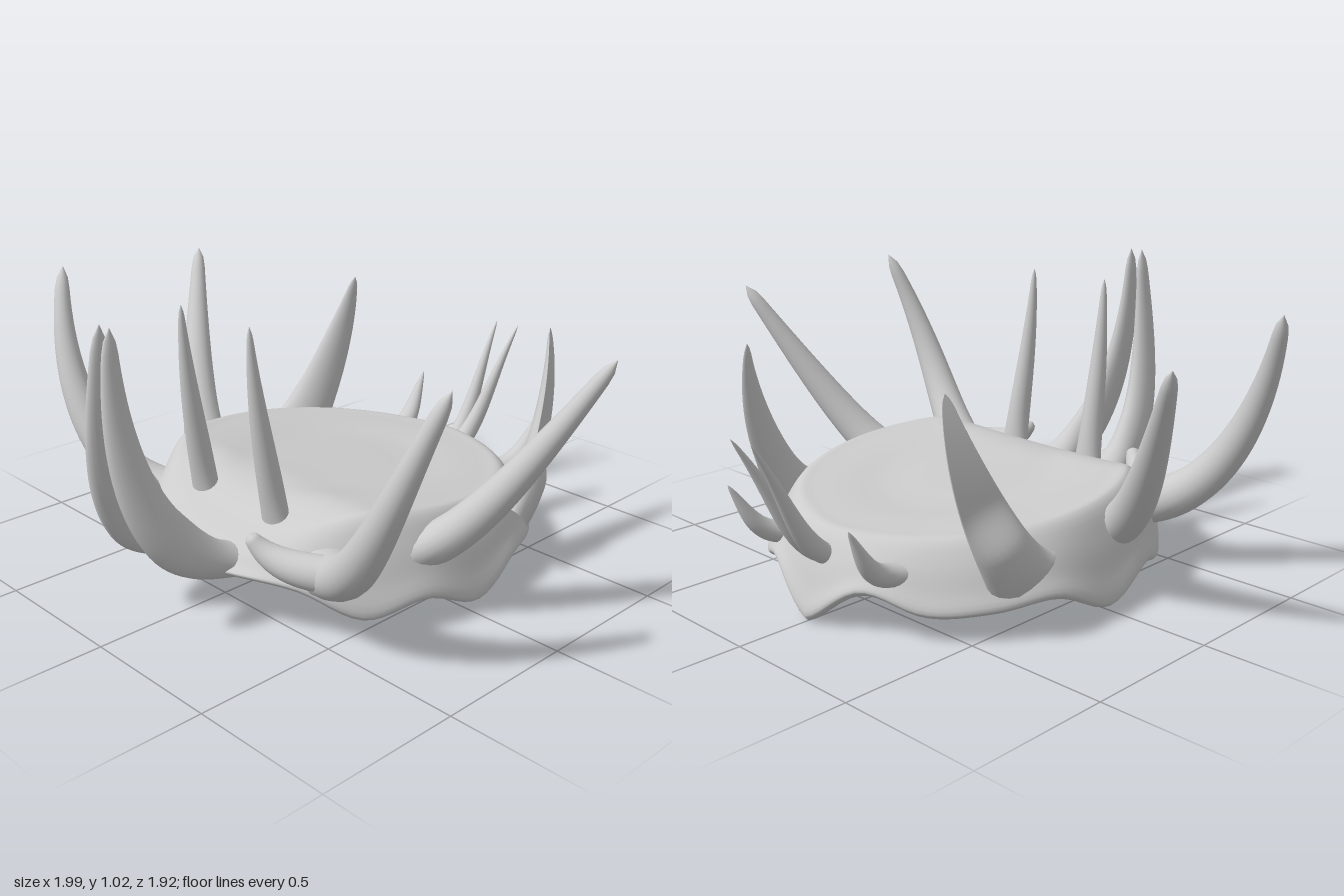
import * as THREE from 'three';

const V = (x, y, z) => new THREE.Vector3(x, y, z);
const material = new THREE.MeshStandardMaterial({ color: 0xcccccc, roughness: 0.8 });
const { smoothstep, lerp } = THREE.MathUtils;

// Skin a stack of closed rings into a smooth surface
function skin(rings) {
  const n = rings[0].length, pos = [], idx = [];
  rings.forEach(r => r.forEach(p => pos.push(p.x, p.y, p.z)));
  for (let i = 0; i < rings.length - 1; i++) {
    for (let j = 0; j < n; j++) {
      const a = i * n + j, b = i * n + (j + 1) % n;
      idx.push(a, b, a + n, b, b + n, a + n);
    }
  }
  const g = new THREE.BufferGeometry();
  g.setAttribute('position', new THREE.Float32BufferAttribute(pos, 3));
  g.setIndex(idx);
  g.computeVertexNormals();
  return g;
}

function mesh(name, geometry) {
  const m = new THREE.Mesh(geometry, material);
  m.name = name;
  return m;
}

// Wavy hem heights at even steps from the front round to the back
const hemCurve = new THREE.SplineCurve(
  [0.17, 0.19, 0.17, 0.07, 0.11, 0.04, 0.12, 0.1, 0.09, 0.14, 0.01].map((y, i) => new THREE.Vector2(i, y)));

// Top slopes gently to the back, drops at the front and has a faint dish
const topHeight = (r, z) =>
  0.362 + 0.1 * z - 0.16 * smoothstep(z, 0.26, 0.64) - 0.018 * (1 - smoothstep(r, 0.4, 0.72));

// Lumpy underside
function underHeight(x, z) {
  const lumps = 0.036 * Math.cos(9 * x) * Math.sin(11 * z + 1) + 0.022 * Math.cos(15 * x + 0.5) * Math.cos(8 * z);
  return Math.max(0.008, 0.055 + 0.13 * (z + 0.25) ** 2 + lumps);
}

// Shell: one profile per angle, from the bottom centre over the skirt to the top centre
function bodyGeometry() {
  const columns = 128, rows = 60, strips = [];
  for (let j = 0; j < columns; j++) {
    const a = (j / columns) * Math.PI * 2;
    const fromFront = Math.min(a, 2 * Math.PI - a);
    const hem = hemCurve.getPoint(fromFront / Math.PI).y;
    const point = (r, height) => {
      const x = 0.67 * r * Math.sin(a);
      const z = -0.03 + 0.7 * r * Math.cos(a) - 0.02 * r * smoothstep(fromFront, 2.7, Math.PI);
      return V(x, height(Math.abs(x), z), z);
    };
    const top = r => point(r, (x, z) => topHeight(r, z));
    const under = r => point(r, underHeight);
    const shoulder = top(0.85).y;
    const profile = new THREE.CatmullRomCurve3([
      ...[0, 0.18, 0.36, 0.52, 0.7].map(under),
      point(0.86, (x, z) => (hem + underHeight(x, z)) / 2 + 0.03),
      point(0.97, () => hem),
      point(1, () => hem + 0.02),
      point(0.965, () => lerp(shoulder, hem, 0.65)),
      point(0.915, () => lerp(shoulder, hem, 0.3)),
      ...[0.84, 0.76, 0.6, 0.42, 0.22, 0].map(top),
    ], false, 'centripetal');
    strips.push(profile.getPoints(rows));
  }
  return skin(Array.from({ length: rows + 1 }, (_, i) => strips.map(s => s[i])));
}

// Tapering horn along a cubic curve. The girth runs along the wide direction,
// depth is the ratio across it, flare spreads the root, groove hollows the outer face.
function hornGeometry(points, { wide, girth, depth, tip, flare, groove = 0 }, side) {
  const mirrored = p => V(p.x * side, p.y, p.z);
  const curve = new THREE.CubicBezierCurve3(...points.map(mirrored));
  const reference = mirrored(wide);
  const steps = 36, sides = 20, rings = [];
  for (let i = 0; i <= steps; i++) {
    const s = i / steps, p = curve.getPoint(s), t = curve.getTangent(s);
    const w = reference.clone().addScaledVector(t, -reference.dot(t)).normalize();
    const b = t.clone().cross(w);
    const round = Math.sqrt(1 - Math.max(0, (s - 0.94) / 0.06) ** 2 + 1e-9);
    const radius = (girth * (1 - s * s) + tip) * round;
    const across = radius * lerp(Math.min(1, depth), depth, smoothstep(s, 0, 0.4));
    const along = radius + flare * (1 - s) ** 8;
    const hollow = groove * smoothstep(s, 0.25, 0.5);
    rings.push(Array.from({ length: sides }, (_, j) => {
      const a = (j / sides) * Math.PI * 2;
      const v = Math.sin(a) * (Math.sin(a) * side > 0 ? 1 - hollow : 1);
      return p.clone().addScaledVector(w, Math.cos(a) * along).addScaledVector(b, v * across);
    }));
  }
  return skin(rings);
}

export function createModel() {
  const group = new THREE.Group();
  group.name = 'hornedShell';
  group.add(mesh('shellBody', bodyGeometry()));

  const X = V(1, 0, 0), Y = V(0, 1, 0), Z = V(0, 0, 1);
  const hornPair = (name, size, ...points) => {
    group.add(mesh('left' + name, hornGeometry(points, size, 1)));
    group.add(mesh('right' + name, hornGeometry(points, size, -1)));
  };

  // Tall blades reaching forward from the front
  hornPair('FrontBlade', { wide: X, girth: 0.042, depth: 1.8, tip: 0.011, flare: 0.05 },
    V(0.12, 0.2, 0.5), V(0.14, 0.23, 0.85), V(0.04, 0.55, 0.95), V(0.025, 1.03, 0.91));
  // Slim upright spikes
  hornPair('UprightSpike', { wide: X, girth: 0.035, depth: 1.15, tip: 0.006, flare: 0.04 },
    V(0.18, 0.22, 0.41), V(0.18, 0.45, 0.44), V(0.17, 0.7, 0.5), V(0.167, 0.98, 0.508));
  // Big curved antlers at the front corners, with short nubs inside them
  hornPair('FrontAntler', { wide: Z, girth: 0.058, depth: 1, tip: 0.02, flare: 0.05 },
    V(0.36, 0.22, 0.4), V(0.62, 0.21, 0.5), V(0.78, 0.5, 0.62), V(0.928, 0.96, 0.457));
  hornPair('FrontNub', { wide: Y, girth: 0.04, depth: 1, tip: 0.02, flare: 0 },
    V(0.5, 0.25, 0.46), V(0.38, 0.25, 0.54), V(0.29, 0.26, 0.56), V(0.25, 0.35, 0.6));
  // Straight antlers sweeping out and back from the flanks
  hornPair('SideAntler', { wide: Z, girth: 0.054, depth: 0.95, tip: 0.02, flare: 0.04 },
    V(0.54, 0.24, 0.12), V(0.68, 0.32, 0.06), V(0.8, 0.52, -0.03), V(0.992, 0.905, -0.215));
  // Cupped leaf-shaped horns
  hornPair('RearLeaf', { wide: V(0.35, 0, 1), girth: 0.085, depth: 0.6, tip: 0.01, flare: 0.03, groove: 1 },
    V(0.55, 0.2, -0.33), V(0.56, 0.32, -0.45), V(0.53, 0.58, -0.57), V(0.475, 0.815, -0.585));
  // Small hooked thorns
  hornPair('RearThorn', { wide: X, girth: 0.04, depth: 0.9, tip: 0.004, flare: 0.03 },
    V(0.26, 0.21, -0.56), V(0.28, 0.2, -0.72), V(0.29, 0.3, -0.74), V(0.3, 0.41, -0.81));
  // Forked tail prongs sharing one root
  hornPair('TailProng', { wide: X, girth: 0.03, depth: 1.2, tip: 0.003, flare: 0.03 },
    V(0.012, 0.19, -0.58), V(0.02, 0.23, -0.78), V(0.03, 0.42, -0.8), V(0.052, 0.65, -0.96));
  return group;
}
